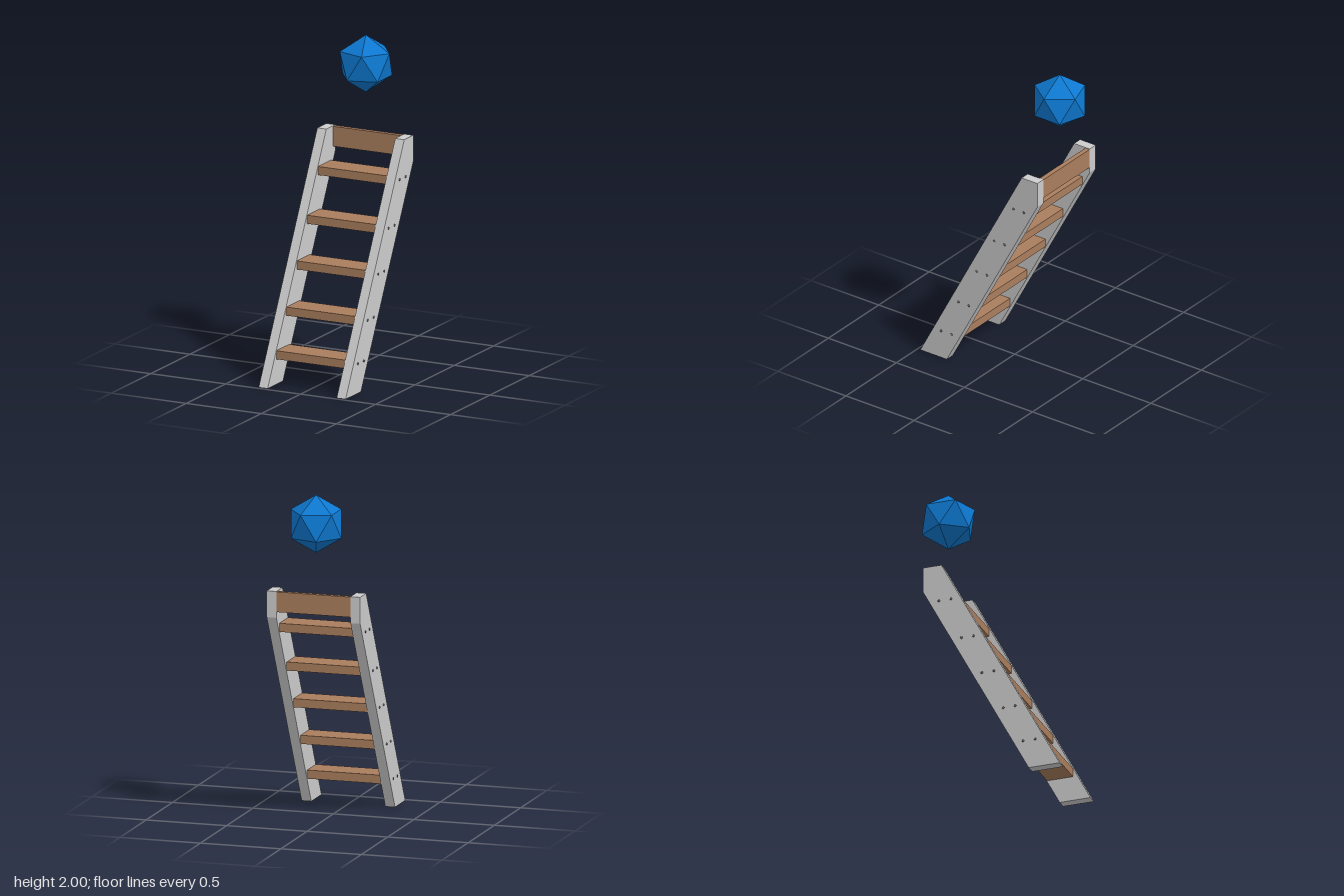
import * as THREE from 'three';

export function createModel() {
  const model = new THREE.Group();
  model.name = 'ladderWithMarker';
  const material = (name, color) => {
    const m = new THREE.MeshStandardMaterial({ color });
    m.name = name;
    return m;
  };
  const paint = material('light grey paint', 0xcccccc);
  const wood = material('brown wood', 0xa97d5d);
  const metal = material('dark screw metal', 0x666666);
  const blue = material('marker blue', 0x0d78d0);
  blue.flatShading = true;

  const add = (name, geometry, mat, x, y, z, parent = model) => {
    const mesh = new THREE.Mesh(geometry, mat);
    mesh.name = name;
    mesh.position.set(x, y, z);
    parent.add(mesh);
    return mesh;
  };

  // Side rails: sloped profile drawn as (-z, y), extruded along x
  const railWidth = 0.06, inner = 0.23, outer = inner + railWidth;
  const profile = new THREE.Shape([
    [-0.48, 0], [-0.285, 0], [0.38, 1.25], [0.38, 1.41], [0.265, 1.41],
  ].map(([u, v]) => new THREE.Vector2(u, v)));
  const railGeometry = new THREE.ExtrudeGeometry(profile, { depth: railWidth, bevelEnabled: false });
  railGeometry.rotateY(Math.PI / 2);
  add('leftRail', railGeometry, paint, inner, 0, 0);
  add('rightRail', railGeometry, paint, -outer, 0, 0);

  // Treads as [height, depth position] of their centres, with two screws per end
  const treadGeometry = new THREE.BoxGeometry(2 * inner, 0.052, 0.165);
  const screwGeometry = new THREE.SphereGeometry(0.008, 10, 8);
  const treads = [[0.18, 0.288], [0.417, 0.162], [0.667, 0.028], [0.916, -0.101], [1.18, -0.243]];
  treads.forEach(([y, z], i) => {
    const step = new THREE.Group();
    step.name = `step${i + 1}`;
    step.position.set(0, y, z);
    model.add(step);
    add('tread', treadGeometry, wood, 0, 0, 0, step);
    for (const side of [-1, 1]) {
      for (const dz of [-0.038, 0.038]) {
        add('screw', screwGeometry, metal, side * (outer - 0.002), 0, dz, step);
      }
    }
  });

  // Upright board across the top
  add('topBoard', new THREE.BoxGeometry(2 * inner, 0.122, 0.03), wood, 0, 1.346, -0.364);

  // Floating marker: icosahedron standing on a vertex, one upper-ring corner toward +x
  const markerGeometry = new THREE.IcosahedronGeometry(0.175, 0);
  const phi = (1 + Math.sqrt(5)) / 2;
  const pole = new THREE.Vector3(0, 1, phi).normalize();
  markerGeometry.applyQuaternion(
    new THREE.Quaternion().setFromUnitVectors(pole, new THREE.Vector3(0, 1, 0)));
  const corners = markerGeometry.attributes.position;
  for (let i = 0; i < corners.count; i++) {
    if (corners.getY(i) > 0.05 && corners.getY(i) < 0.1) {
      markerGeometry.rotateY(Math.atan2(corners.getZ(i), corners.getX(i)));
      break;
    }
  }
  add('marker', markerGeometry, blue, 0, 1.825, -0.33);

  return model;
}
